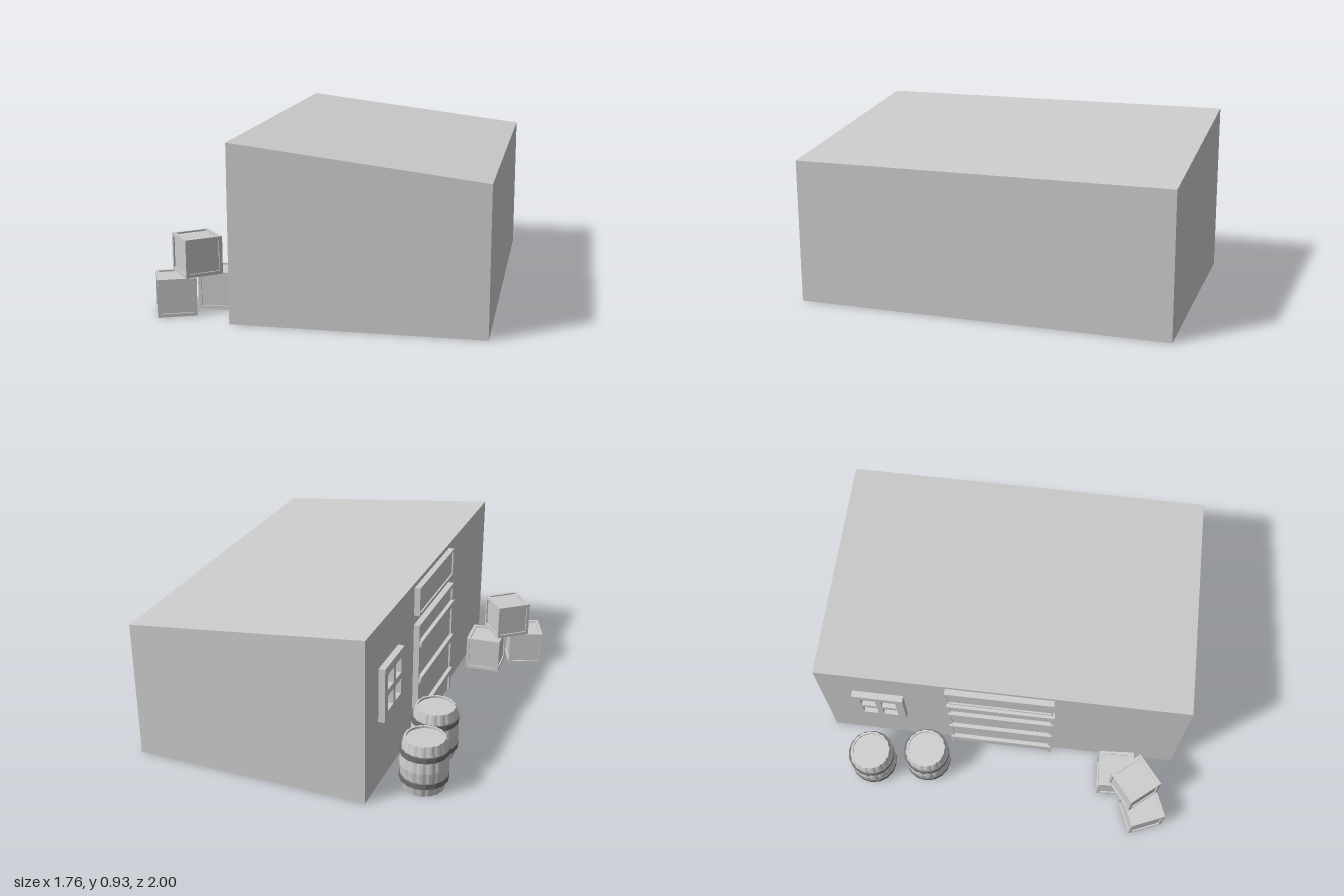
import * as THREE from 'three';

const grey = new THREE.MeshStandardMaterial({ color: 0xcccccc, name: 'plainGrey', flatShading: true });
const iron = new THREE.MeshStandardMaterial({ color: 0x707070, name: 'hoopGrey', flatShading: true });

const WALL = -0.42; // x of the wall carrying the door and window

function mesh(name, geometry, material = grey) {
  const m = new THREE.Mesh(geometry, material);
  m.name = name;
  return m;
}

// Box given by its centre and size
function box(parent, name, x, y, z, w, h, d) {
  const m = mesh(name, new THREE.BoxGeometry(w, h, d));
  m.position.set(x, y, z);
  parent.add(m);
}

// Plate on the wall, reaching from inside the wall out to xOut
function wallPlate(parent, name, xOut, y0, y1, z0, z1) {
  const xIn = WALL + 0.005;
  box(parent, name, (xIn + xOut) / 2, (y0 + y1) / 2, (z0 + z1) / 2, xIn - xOut, y1 - y0, z1 - z0);
}

// Shed with a single sloping roof
function building() {
  const s = new THREE.Shape([[WALL, 0], [0.88, 0], [0.88, 0.77], [WALL, 0.925]].map(p => new THREE.Vector2(...p)));
  const geo = new THREE.ExtrudeGeometry(s, { depth: 2, bevelEnabled: false });
  geo.translate(0, 0, -1);
  return mesh('building', geo);
}

// Slatted door in a shallow frame
function door() {
  const g = new THREE.Group();
  g.name = 'door';
  wallPlate(g, 'doorPanel', -0.443, 0, 0.68, -0.285, 0.275);
  wallPlate(g, 'doorJamb', -0.453, 0, 0.685, -0.3, -0.28);
  wallPlate(g, 'doorJamb', -0.453, 0, 0.685, 0.27, 0.29);
  wallPlate(g, 'doorLintel', -0.453, 0.665, 0.685, -0.28, 0.27);
  for (const y of [0.13, 0.35, 0.57]) wallPlate(g, 'doorSlat', -0.465, y - 0.015, y + 0.015, -0.295, 0.283);
  return g;
}

// Sign board with a raised rim
function sign() {
  const g = new THREE.Group();
  g.name = 'sign';
  wallPlate(g, 'signPanel', -0.443, 0.745, 0.895, -0.295, 0.275);
  for (const y of [0.74, 0.888]) wallPlate(g, 'signRim', -0.452, y, y + 0.012, -0.3, 0.28);
  for (const z of [-0.3, 0.268]) wallPlate(g, 'signRim', -0.452, 0.752, 0.888, z, z + 0.012);
  return g;
}

// Window frame with four openings
function windowFrame() {
  const s = new THREE.Shape();
  const rect = (path, x, y, w, h) => path.moveTo(x, y).lineTo(x + w, y).lineTo(x + w, y + h).lineTo(x, y + h).closePath();
  rect(s, -0.14, -0.152, 0.28, 0.304);
  for (const x of [-0.097, 0.015]) {
    for (const y of [-0.105, 0.018]) {
      const hole = new THREE.Path();
      rect(hole, x, y, 0.082, 0.087);
      s.holes.push(hole);
    }
  }
  const m = mesh('windowFrame', new THREE.ExtrudeGeometry(s, { depth: 0.035, bevelEnabled: false }));
  m.rotation.y = -Math.PI / 2;
  m.position.set(WALL, 0.533, -0.68);
  return m;
}

// Crate: a core box inside twelve edge bars
function crate(x, y, z, turn) {
  const g = new THREE.Group();
  g.name = 'crate';
  const S = 0.2, b = 0.018, o = (S - b) / 2;
  box(g, 'crateCore', 0, 0, 0, S - 0.016, S - 0.016, S - 0.016);
  for (const p of [-o, o]) {
    for (const q of [-o, o]) {
      box(g, 'crateBar', p, 0, q, b, S, b);
      box(g, 'crateBar', 0, p, q, S - 2 * b, b, b);
      box(g, 'crateBar', p, q, 0, b, b, S - 2 * b);
    }
  }
  g.position.set(x, y, z);
  g.rotation.y = turn;
  return g;
}

// Barrel: a grooved lathe with sunken ends and two hoops
function barrel(x, z) {
  const g = new THREE.Group();
  g.name = 'barrel';
  const staves = 16;
  const profile = [[0, 0.012], [0.097, 0.012], [0.097, 0], [0.109, 0], [0.121, 0.06], [0.13, 0.147],
    [0.121, 0.235], [0.109, 0.295], [0.097, 0.295], [0.097, 0.283], [0, 0.283]];
  const geo = new THREE.LatheGeometry(profile.map(p => new THREE.Vector2(...p)), staves * 3);
  const pos = geo.attributes.position;
  for (let i = 0; i < pos.count; i++) {
    // Pull every third column in to form the joint between staves
    const column = Math.floor(i / profile.length);
    if (column % 3 === 0 && Math.hypot(pos.getX(i), pos.getZ(i)) > 0.1) {
      pos.setX(i, pos.getX(i) * 0.965);
      pos.setZ(i, pos.getZ(i) * 0.965);
    }
  }
  geo.computeVertexNormals();
  g.add(mesh('barrelStaves', geo));
  for (const y of [0.07, 0.225]) {
    const ring = [[0.115, -0.015], [0.13, -0.015], [0.13, 0.015], [0.115, 0.015]];
    const hoop = mesh('barrelHoop', new THREE.LatheGeometry(ring.map(p => new THREE.Vector2(...p)), staves), iron);
    hoop.position.y = y;
    g.add(hoop);
  }
  g.position.set(x, 0, z);
  return g;
}

export function createModel() {
  const model = new THREE.Group();
  model.name = 'storehouse';
  model.add(building(), door(), sign(), windowFrame());
  model.add(crate(-0.56, 0.1, 0.675, 0.07), crate(-0.752, 0.1, 0.842, 0.4), crate(-0.655, 0.3, 0.775, 0.69));
  model.add(barrel(-0.64, -0.73), barrel(-0.592, -0.418));
  return model;
}
